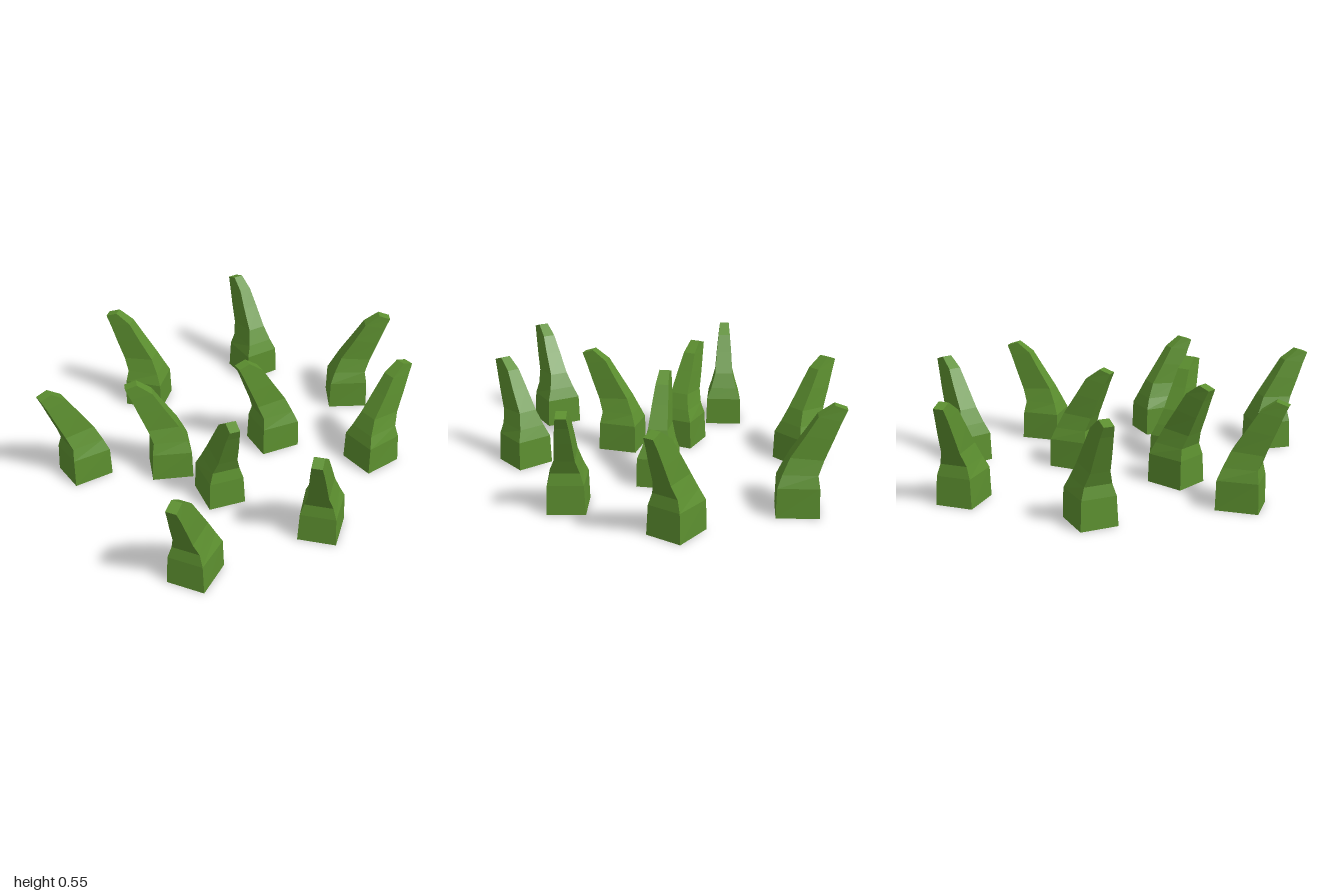
import * as THREE from 'three';

// Blade cross-sections: [back y, back z, front y, front z, back half width, front half width]
const SECTIONS = [
  [0, 0, 0, 0.21, 0.1, 0.095],
  [0.15, 0.003, 0.15, 0.205, 0.096, 0.088],
  [0.21, 0.025, 0.21, 0.195, 0.072, 0.07],
  [0.29, 0.06, 0.28, 0.22, 0.05, 0.05],
  [0.4, 0.13, 0.38, 0.26, 0.042, 0.042],
  [0.49, 0.185, 0.47, 0.295, 0.033, 0.033],
  [0.545, 0.26, 0.525, 0.32, 0.026, 0.026],
];

// Each blade: x and z of the middle of its back edge, then the direction it leans (x, z)
const BLADES = [
  [-0.139, -0.626, -0.757, -0.65],
  [0.479, -0.615, -0.107, -0.994],
  [-0.682, -0.219, -0.99, 0.13],
  [-0.275, 0.005, -0.956, -0.292],
  [0.322, 0, -1, 0],
  [0.706, -0.23, 0.905, 0.426],
  [-0.23, 0.187, -0.104, 0.995],
  [0.508, 0.396, 0.986, -0.165],
  [-0.524, 0.703, -0.77, 0.64],
  [0.144, 0.679, -0.65, 0.76],
];

// Four-sided loft leaning towards +z, capped at both ends
function bladeGeometry() {
  const points = [];
  for (const [yb, zb, yf, zf, wb, wf] of SECTIONS) {
    points.push(-wb, yb, zb, -wf, yf, zf, wf, yf, zf, wb, yb, zb);
  }
  const index = [];
  const quad = (a, b, c, d) => index.push(a, b, c, a, c, d);
  for (let s = 0; s < SECTIONS.length - 1; s++) {
    for (let i = 0; i < 4; i++) {
      const a = s * 4 + i;
      const b = s * 4 + ((i + 1) % 4);
      quad(a, b, b + 4, a + 4);
    }
  }
  const t = (SECTIONS.length - 1) * 4;
  quad(3, 2, 1, 0);
  quad(t, t + 1, t + 2, t + 3);

  const indexed = new THREE.BufferGeometry();
  indexed.setAttribute('position', new THREE.Float32BufferAttribute(points, 3));
  indexed.setIndex(index);
  const geometry = indexed.toNonIndexed();
  geometry.computeVertexNormals();
  return geometry;
}

export function createModel() {
  const group = new THREE.Group();
  group.name = 'grassPatch';
  const green = new THREE.MeshStandardMaterial({ color: 0x5c8f2f });
  green.name = 'grassGreen';
  const geometry = bladeGeometry();

  BLADES.forEach(([x, z, dx, dz], i) => {
    const blade = new THREE.Mesh(geometry, green);
    blade.name = `grassBlade${i + 1}`;
    blade.position.set(x, 0, z);
    blade.rotation.y = Math.atan2(dx, dz);
    group.add(blade);
  });
  return group;
}
